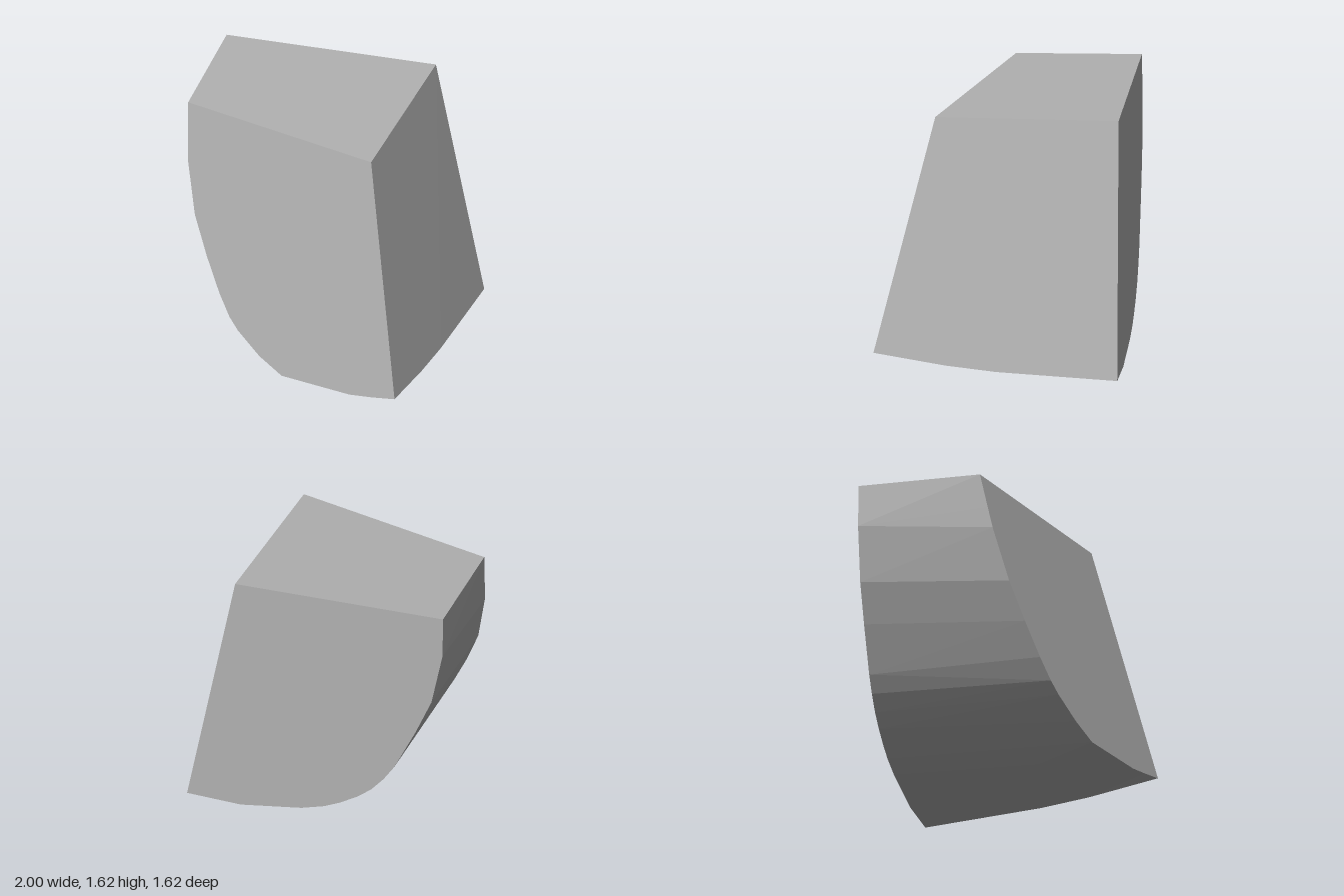
import * as THREE from 'three';
import { ConvexGeometry } from 'three/addons/geometries/ConvexGeometry.js';

// The three flat cut planes of the chunk
const frontZ = (x, y) => 0.415 - 0.182 * (x - 0.62) - 0.191 * (y - 1.57);
const backZ = (x, y) => -0.655 - 0.492 * (x - 0.2) + 0.017 * (y - 1.615);
const sideX = (y, z) => 0.62 + 0.384 * (z - 0.415) - 0.205 * (y - 1.57);

export function createModel() {
  const group = new THREE.Group();
  group.name = 'stoneChunk';
  const stone = new THREE.MeshStandardMaterial({ color: 0xb0b0b0 });
  stone.name = 'grey stone';

  // Outline of the front cut, from the top round the curved side to the bottom corner
  const frontOutline = [
    [0.62, 1.57], [-0.68, 1.58], [-0.65, 1.36], [-0.63, 1.22], [-0.53, 0.88],
    [-0.41, 0.64], [-0.29, 0.43], [-0.2, 0.3], [-0.13, 0.23], [0.04, 0.11],
    [0.21, 0.03], [0.69, 0.048], [0.84, 0.075], [1.0, 0.11],
  ];
  // Outline of the back cut
  const backOutline = [
    [0.2, 1.615], [-1.0, 1.61], [-1.0, 1.34], [-0.94, 0.99], [-0.85, 0.75],
    [-0.73, 0.47], [-0.67, 0.37], [-0.6, 0.28], [-0.52, 0.21], [-0.42, 0.145],
    [-0.33, 0.1], [-0.2, 0.06], [0.15, 0.01], [0.46, 0.03],
  ];
  // Lower edge of the flat side (y, z)
  const sideEdge = [[0.06, 0.2], [0.04, -0.1]];
  // Slight swell of the underside
  const underside = [[0.18, 0, -0.4], [0.2, 0.01, 0.36], [0.5, 0.015, -0.1]];

  const points = [
    ...frontOutline.map(([x, y]) => new THREE.Vector3(x, y, frontZ(x, y))),
    ...backOutline.map(([x, y]) => new THREE.Vector3(x, y, backZ(x, y))),
    ...sideEdge.map(([y, z]) => new THREE.Vector3(sideX(y, z), y, z)),
    ...underside.map((p) => new THREE.Vector3(...p)),
  ];

  // Faceted solid spanning the outlines
  const chunk = new THREE.Mesh(new ConvexGeometry(points), stone);
  chunk.name = 'chunkBody';
  group.add(chunk);
  return group;
}
